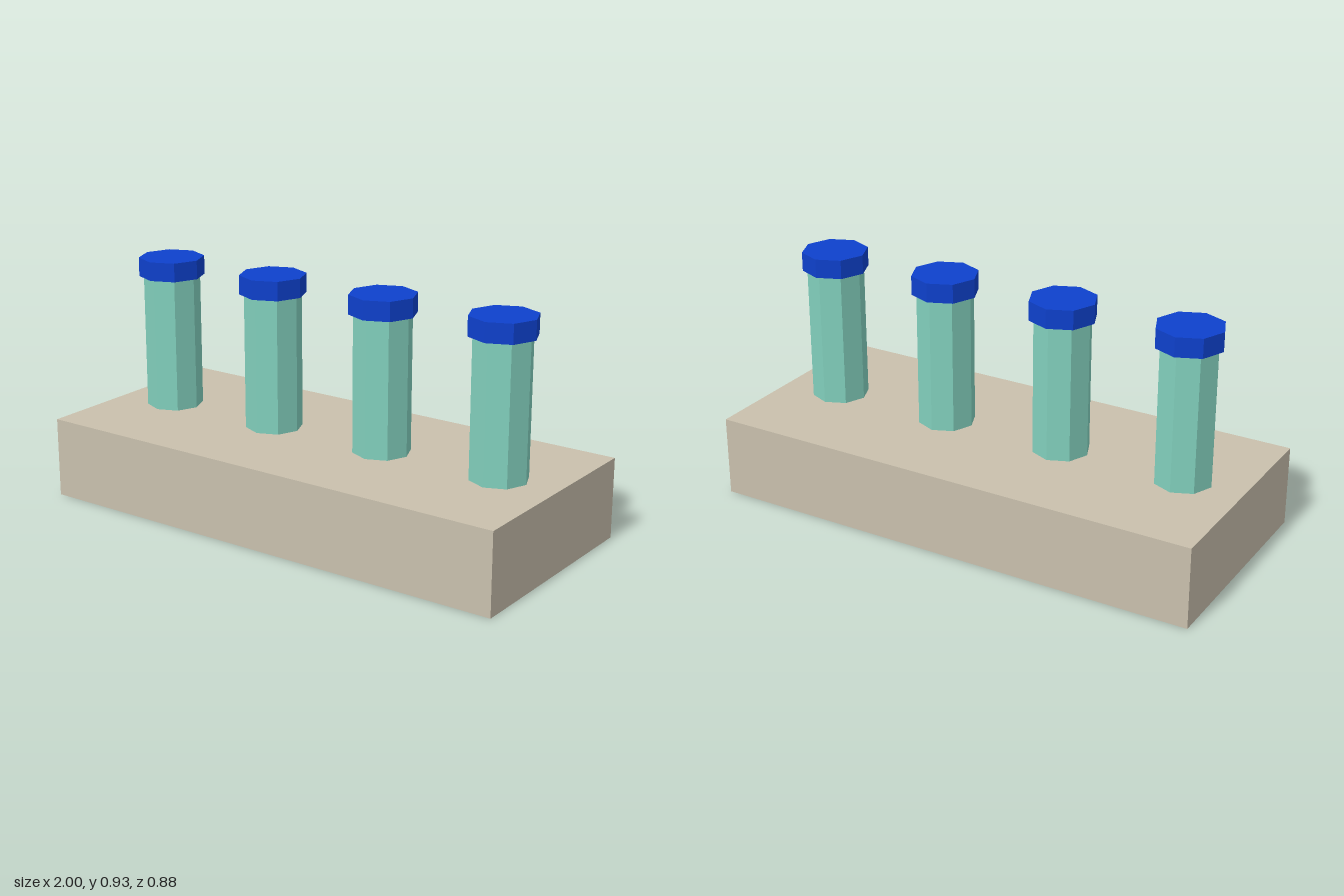
import * as THREE from 'three';

const material = (name, color) => {
  const m = new THREE.MeshStandardMaterial({ color, flatShading: true });
  m.name = name;
  return m;
};

export function createModel() {
  const stone = material('beige', 0xc9c0ad);
  const green = material('sea green', 0x82d0bd);
  const blue = material('blue', 0x0e41cd);
  const model = new THREE.Group();
  model.name = 'postRow';

  const add = (parent, name, geometry, mat, y) => {
    const mesh = new THREE.Mesh(geometry, mat);
    mesh.name = name;
    mesh.position.y = y;
    parent.add(mesh);
  };

  // Base block
  const baseTop = 0.318;
  add(model, 'base', new THREE.BoxGeometry(2, baseTop, 0.885), stone, baseTop / 2);

  // Four octagonal posts, each with a wider cap
  const postTop = 0.853, capTop = 0.928;
  const shaft = new THREE.CylinderGeometry(0.112, 0.112, postTop - baseTop, 8);
  const cap = new THREE.CylinderGeometry(0.13, 0.13, capTop - postTop, 8);
  for (let i = 0; i < 4; i++) {
    const post = new THREE.Group();
    post.name = `post${i + 1}`;
    post.position.x = (i - 1.5) * 0.508;
    add(post, 'shaft', shaft, green, (baseTop + postTop) / 2);
    add(post, 'cap', cap, blue, (postTop + capTop) / 2);
    model.add(post);
  }
  return model;
}
